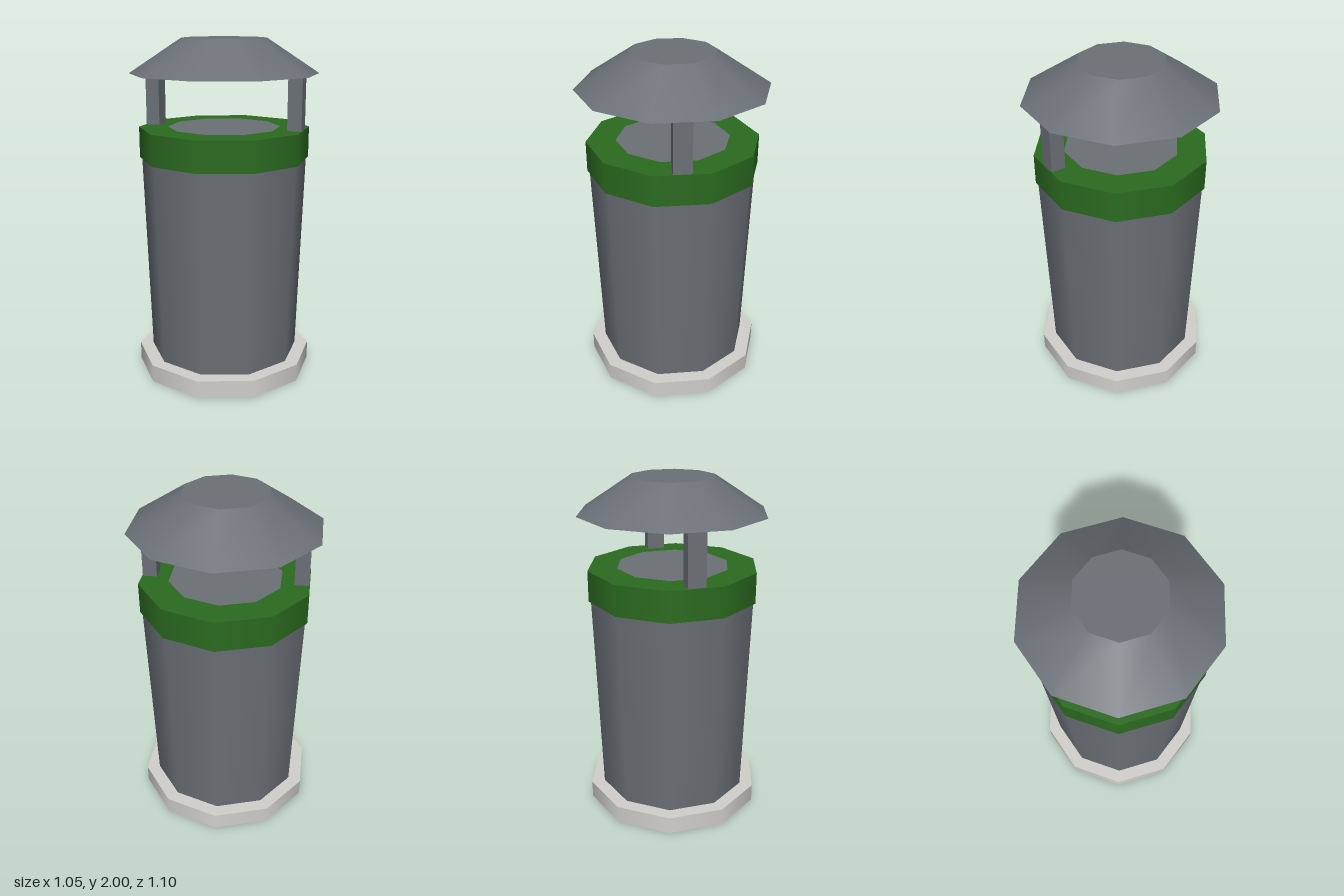
import * as THREE from 'three';

const SIDES = 10;

export function createModel() {
  const material = (name, color, side = THREE.FrontSide) => {
    const m = new THREE.MeshStandardMaterial({ color, side });
    m.name = name;
    return m;
  };
  const steel = material('steel grey', 0x6b7076, THREE.DoubleSide);
  const green = material('green paint', 0x2b6b20, THREE.DoubleSide);
  const stone = material('pale stone', 0xd2d0cb);

  const model = new THREE.Group();
  model.name = 'litterBin';

  const add = (name, geometry, mat, x = 0, y = 0) => {
    const mesh = new THREE.Mesh(geometry, mat);
    mesh.name = name;
    mesh.position.set(x, y, 0);
    model.add(mesh);
  };

  // Ten-sided drum between two heights
  const drum = (name, mat, rTop, rBottom, y0, y1, open = false) =>
    add(name, new THREE.CylinderGeometry(rTop, rBottom, y1 - y0, SIDES, 1, open), mat, 0, (y0 + y1) / 2);

  // Flat ten-sided disc facing up
  const disc = (name, mat, radius, y) =>
    add(name, new THREE.CircleGeometry(radius, SIDES, Math.PI / 2).rotateX(-Math.PI / 2), mat, 0, y);

  drum('base', stone, 0.531, 0.531, 0, 0.105);
  drum('body', steel, 0.4925, 0.45, 0.1, 1.487);

  // Painted rim: a sleeve and lid over the top of the body, with a steel plate set in the lid
  drum('rimBand', green, 0.5, 0.5, 1.31, 1.49, true);
  disc('rimLid', green, 0.5, 1.49);
  disc('lidPlate', steel, 0.33, 1.492);

  // Hollow roof: sloping skirt and flat crown
  drum('roofSkirt', steel, 0.245, 0.55, 1.8, 2, true);
  disc('roofCrown', steel, 0.245, 2);

  // Posts carrying the roof
  for (const [name, side] of [['leftPost', 1], ['rightPost', -1]]) {
    add(name, new THREE.BoxGeometry(0.082, 0.335, 0.103), steel, side * 0.43, 1.6575);
  }

  return model;
}
